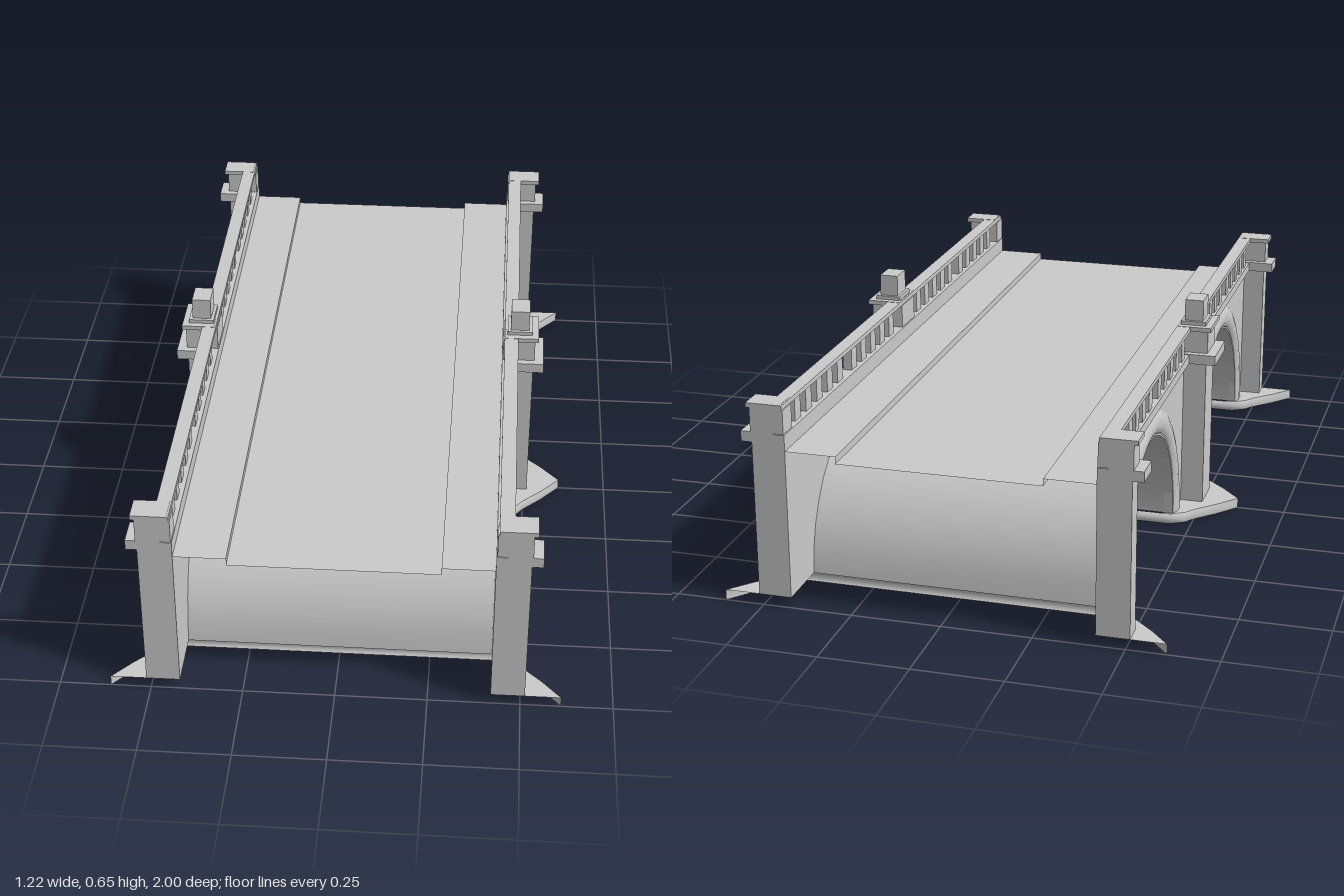
import * as THREE from 'three';

const mat = new THREE.MeshStandardMaterial({ color: 0xcccccc, side: THREE.DoubleSide });
const SEG = 16; // segments per arch

function add(parent, name, geo) {
  const m = new THREE.Mesh(geo, mat);
  m.name = name;
  parent.add(m);
  return m;
}

// box given by its extents
function box(parent, name, x0, x1, y0, y1, z0, z1) {
  const g = new THREE.BoxGeometry(x1 - x0, y1 - y0, z1 - z0);
  g.translate((x0 + x1) / 2, (y0 + y1) / 2, (z0 + z1) / 2);
  return add(parent, name, g);
}

// surface lofted through rows of [x, y, z] points
function loft(rows) {
  const n = rows[0].length, idx = [];
  for (let i = 0; i < rows.length - 1; i++)
    for (let j = 0; j < n - 1; j++) {
      const a = i * n + j, b = a + n;
      idx.push(a, b, a + 1, b, b + 1, a + 1);
    }
  const g = new THREE.BufferGeometry();
  g.setAttribute('position', new THREE.Float32BufferAttribute(rows.flat(2), 3));
  g.setIndex(idx);
  g.computeVertexNormals();
  return g;
}

// arch curve in (z, y), widened by r
function arch(centre, r) {
  return Array.from({ length: SEG + 1 }, (_, i) => {
    const a = Math.PI * (1 - i / SEG);
    return [centre + Math.cos(a) * (0.335 + r), 0.03 + Math.sin(a) * (0.35 + r)];
  });
}

// one side of the bridge, built on +x
function buildSide() {
  const side = new THREE.Group();

  // spandrel wall with two arched openings
  const outline = [[-1, 0.47], [-1, 0.03], ...arch(-0.5, 0), ...arch(0.5, 0), [1, 0.03], [1, 0.47]];
  const wall = new THREE.ExtrudeGeometry(
    new THREE.Shape(outline.map(p => new THREE.Vector2(-p[0], p[1]))),
    { depth: 0.026, bevelEnabled: false });
  wall.rotateY(Math.PI / 2).translate(0.42, 0, 0);
  add(side, 'spandrelWall', wall);

  // rounded mouldings around the arches
  const profile = [[0, 0.438], [0.008, 0.449], [0.025, 0.456], [0.045, 0.456], [0.062, 0.451], [0.075, 0.444]];
  for (const c of [-0.5, 0.5])
    add(side, 'archMoulding', loft(profile.map(([r, x]) => arch(c, r).map(([z, y]) => [x, y, z])).reverse()));

  // string course, handrail and balusters
  box(side, 'stringCourse', 0.42, 0.465, 0.468, 0.495, -1, 1);
  box(side, 'handrail', 0.425, 0.465, 0.563, 0.576, -1, 1);
  for (const c of [-0.5, 0.5])
    for (const s of [-1, 1])
      for (let k = 0; k < 5; k++) {
        const z = c + s * (0.056 + 0.079 * k);
        box(side, 'baluster', 0.432, 0.458, 0.495, 0.563, z - 0.02, z + 0.02);
      }

  // pilasters with caps and parapet blocks: middle and both ends
  for (const [z0, z1, p0, p1] of [[-0.055, 0.055, 0.02, 0.02], [-1, -0.94, 0, 0.02], [0.94, 1, 0.02, 0]]) {
    box(side, 'pilaster', 0.42, 0.512, 0.03, 0.47, z0, z1);
    box(side, 'pilasterCap', 0.45, 0.542, 0.468, 0.497, z0 - p0, z1 + p1);
    box(side, 'parapetBlock', 0.422, 0.515, 0.497, 0.564, z0, z1);
    box(side, 'blockCoping', 0.43, 0.525, 0.564, 0.577, z0 - p0 / 2, z1 + p1 / 2);
  }

  // raised finial over the middle pilaster
  box(side, 'finialBase', 0.433, 0.506, 0.576, 0.588, -0.046, 0.046);
  box(side, 'finial', 0.442, 0.496, 0.588, 0.65, -0.036, 0.036);
  return side;
}

// half of a pier footing: a hollow skirt with pointed cutwaters, facing +z
function buildFooting() {
  const footing = new THREE.Group();
  const half = [[0.61, 0], [0.555, 0.068], [0.5, 0.125], [0.48, 0.155], [0.44, 0.18]];
  const plan = [...half, ...half.map(([x, z]) => [-x, z]).reverse()];
  const levels = [[0, 0.97], [0.007, 1], [0.022, 1], [0.03, 0.95]];
  add(footing, 'footingSkirt', loft(levels.map(([y, s]) => plan.map(([x, z]) => [x, y, z * s])).reverse()));

  // flat tops of the cutwaters
  for (const s of [-1, 1]) {
    const pts = [[0.42, 0], ...half, [0.42, 0.18]].map(([x, z]) => new THREE.Vector2(s * x, -z * 0.95));
    const top = new THREE.ShapeGeometry(new THREE.Shape(pts));
    top.rotateX(-Math.PI / 2).translate(0, 0.03, 0);
    add(footing, 'cutwaterTop', top);
  }
  return footing;
}

export function createModel() {
  const bridge = new THREE.Group();
  bridge.name = 'bridge';

  // two matching sides
  for (const [name, turn] of [['leftSide', 0], ['rightSide', Math.PI]]) {
    const side = buildSide();
    side.name = name;
    side.rotation.y = turn;
    bridge.add(side);
  }

  // thin vaults under the deck
  for (const c of [-0.5, 0.5])
    add(bridge, 'vault', loft([-0.425, 0.425].map(x => arch(c, 0).map(([z, y]) => [x, y, z]))));

  // roadway with raised pavements
  const strip = (name, ax, ay, bx, by) =>
    add(bridge, name, loft([[[ax, ay, -1], [ax, ay, 1]], [[bx, by, -1], [bx, by, 1]]].reverse()));
  strip('roadway', 0.28, 0.43, -0.28, 0.43);
  for (const s of [-1, 1]) {
    const [a, b] = s > 0 ? [0.425, 0.28] : [-0.28, -0.425];
    strip('pavement', a, 0.45, b, 0.45);
    if (s > 0) strip('kerb', 0.28, 0.45, 0.28, 0.43);
    else strip('kerb', -0.28, 0.43, -0.28, 0.45);
  }

  // footings: whole under the middle pier, halved at the ends
  for (const [z, turn] of [[0, 0], [0, Math.PI], [1, Math.PI], [-1, 0]]) {
    const f = buildFooting();
    f.name = 'footing';
    f.position.z = z;
    f.rotation.y = turn;
    bridge.add(f);
  }
  return bridge;
}
